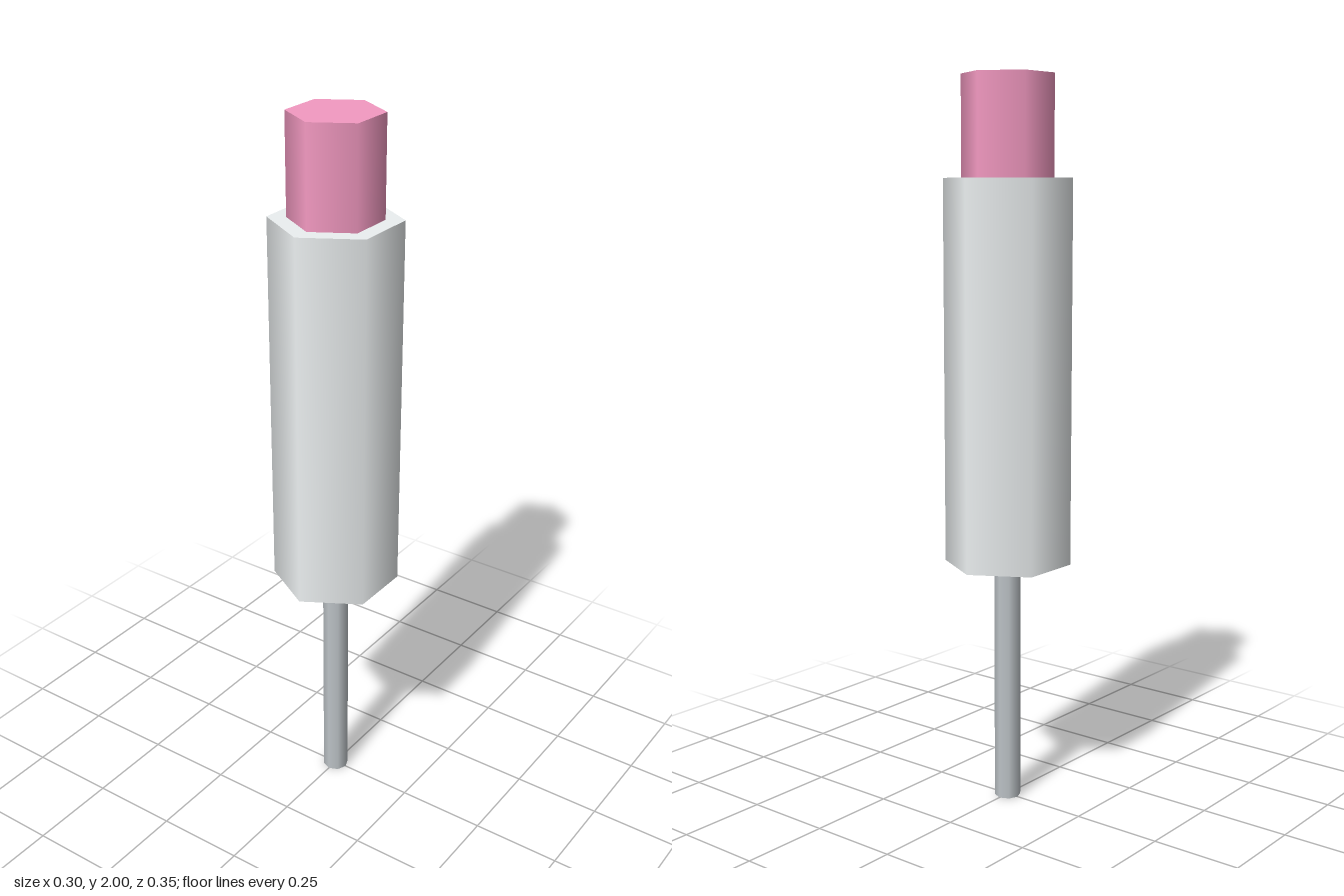
import * as THREE from 'three';

// Upright prism with smooth sides, spanning y0 to y1
function prism(name, radius, y0, y1, sides, color) {
  const mesh = new THREE.Mesh(
    new THREE.CylinderGeometry(radius, radius, y1 - y0, sides),
    new THREE.MeshStandardMaterial({ color })
  );
  mesh.name = name;
  mesh.position.y = (y0 + y1) / 2;
  return mesh;
}

export function createModel() {
  const model = new THREE.Group();
  model.name = 'hexagonalRod';
  model.add(
    // Thin pin the model stands on
    prism('pin', 0.0365, 0, 0.68, 8, 0xbdc3c7),
    // Wide hexagonal body
    prism('body', 0.175, 0.68, 1.73, 6, 0xecf0f1),
    // Narrower pink hexagonal cap
    prism('cap', 0.125, 1.73, 2, 6, 0xf49ac2)
  );
  return model;
}
